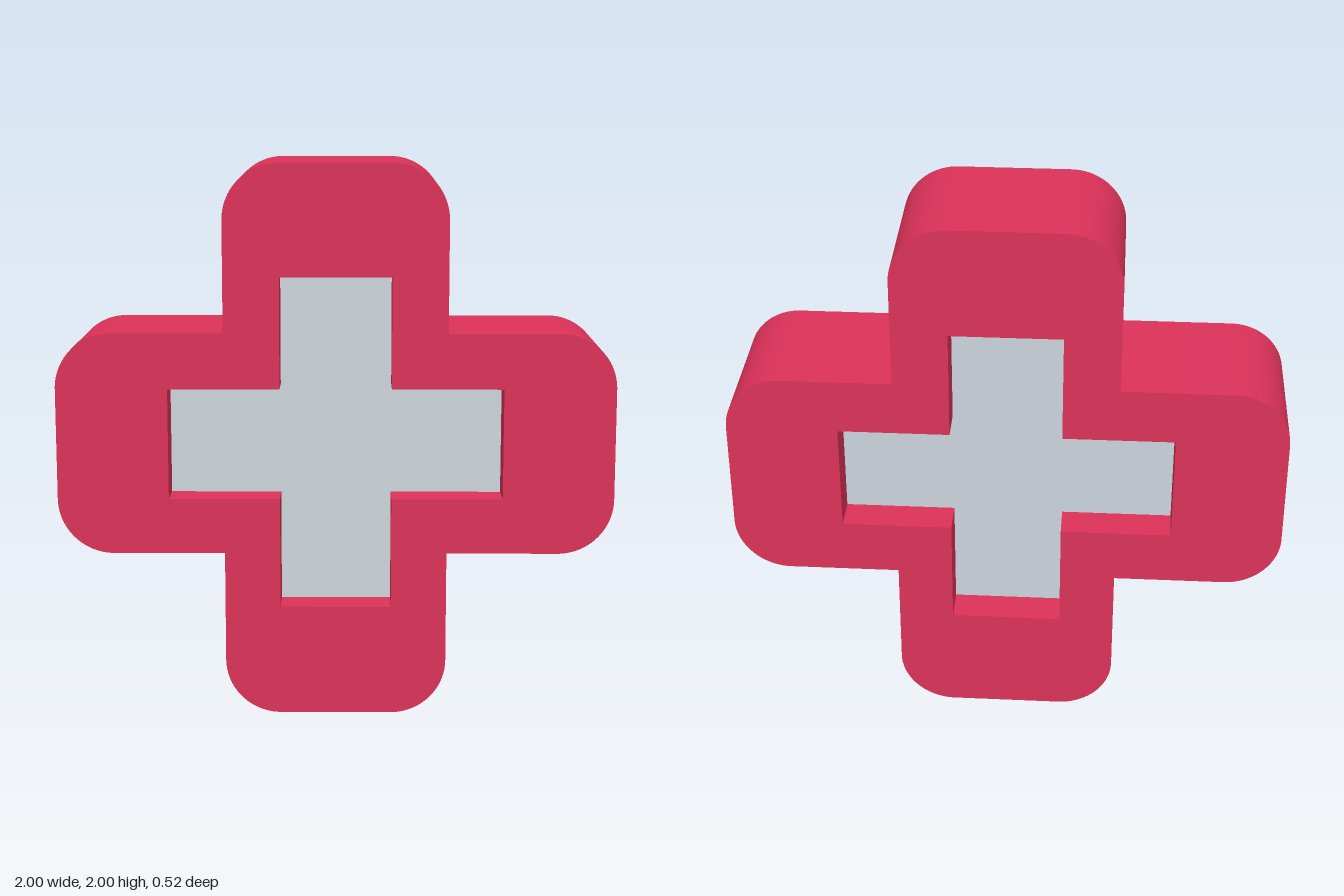
import * as THREE from 'three';
import { toCreasedNormals } from 'three/addons/utils/BufferGeometryUtils.js';

const red = new THREE.MeshStandardMaterial({ color: 0xdc3259 });
red.name = 'crimson';
const grey = new THREE.MeshStandardMaterial({ color: 0xccd4dc });
grey.name = 'pale grey';

// Plus outline: arm reach, half arm width, tip corner radius
function traceCross(path, reach, half, radius) {
  const at = (x, y, turn) => {
    for (let i = 0; i < turn; i++) [x, y] = [-y, x];
    return [x, y];
  };
  path.moveTo(half, -half);
  for (let turn = 0; turn < 4; turn++) {
    const p = (x, y) => at(x, y, turn);
    if (radius > 0) {
      const c = reach - radius;
      path.lineTo(...p(c, -half));
      path.absarc(...p(c, radius - half), radius, (turn - 1) * Math.PI / 2, turn * Math.PI / 2, false);
      path.lineTo(...p(reach, half - radius));
      path.absarc(...p(c, half - radius), radius, turn * Math.PI / 2, (turn + 1) * Math.PI / 2, false);
    } else {
      path.lineTo(...p(reach, -half));
      path.lineTo(...p(reach, half));
    }
    if (turn < 3) path.lineTo(...p(half, half));
  }
  path.closePath();
  return path;
}

// Extrusion centred on z = 0
function slab(name, shape, depth, material) {
  const geometry = new THREE.ExtrudeGeometry(shape, { depth, bevelEnabled: false, curveSegments: 16 });
  geometry.translate(0, 1, -depth / 2);
  const mesh = new THREE.Mesh(toCreasedNormals(geometry, 0.5), material);
  mesh.name = name;
  return mesh;
}

export function createModel() {
  const group = new THREE.Group();
  group.name = 'cross';

  // Rounded red body with a cross-shaped opening
  const body = traceCross(new THREE.Shape(), 1, 0.4, 0.2);
  body.holes.push(traceCross(new THREE.Path(), 0.6, 0.2, 0));
  group.add(slab('body', body, 0.52, red));

  // Grey panel, recessed on both faces
  const panel = traceCross(new THREE.Shape(), 0.6, 0.2, 0);
  group.add(slab('recessedPanel', panel, 0.26, grey));

  return group;
}
